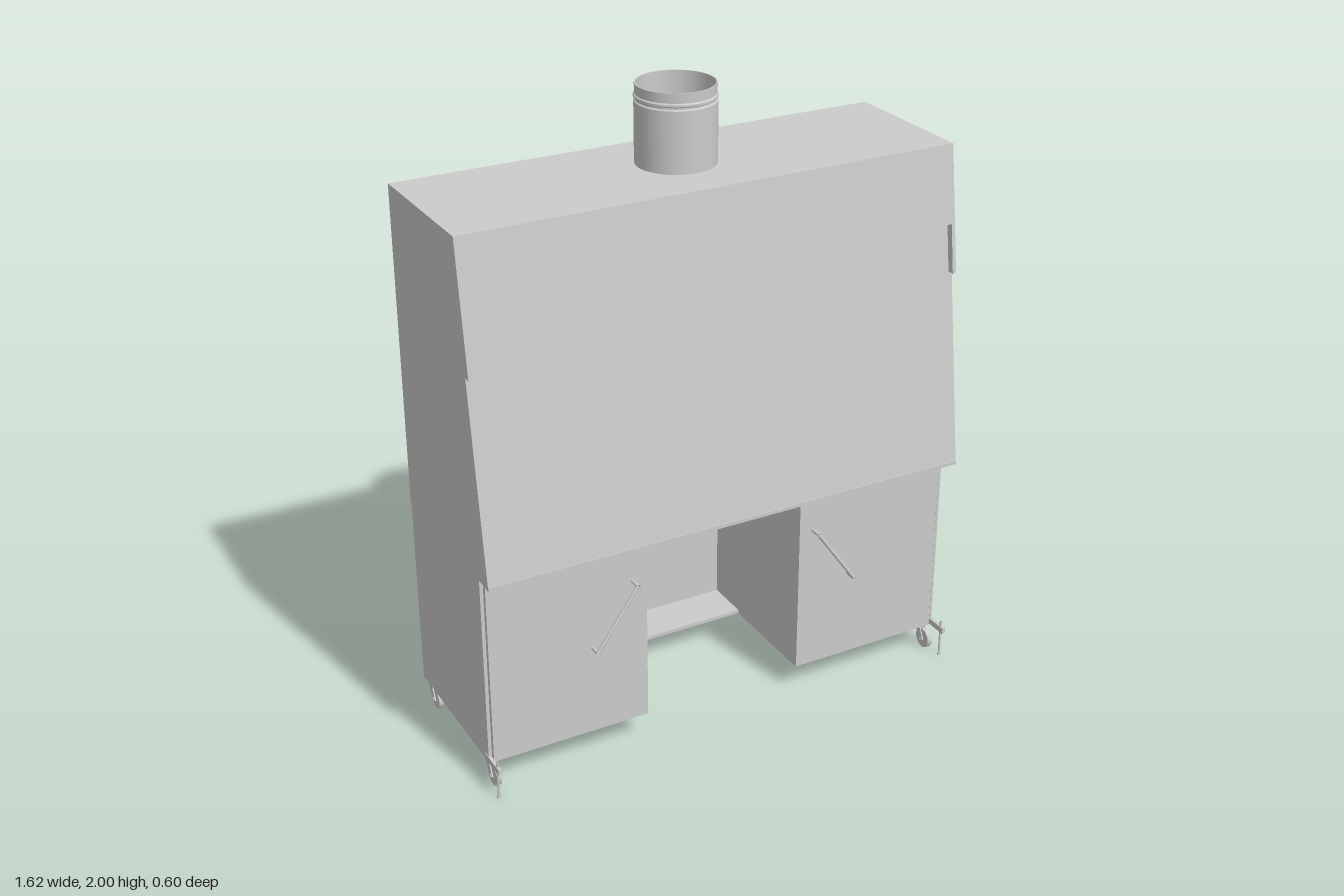
import * as THREE from 'three';

const mat = new THREE.MeshStandardMaterial({ color: 0xcccccc, side: THREE.DoubleSide });

export function createModel() {
  const root = new THREE.Group();
  const add = (name, geo, parent = root) => {
    const mesh = new THREE.Mesh(geo, mat);
    mesh.name = name;
    parent.add(mesh);
    return mesh;
  };
  // box given by its limits on each axis
  const box = (name, [x0, x1], [y0, y1], [z0, z1], parent) =>
    add(name, new THREE.BoxGeometry(x1 - x0, y1 - y0, z1 - z0)
      .translate((x0 + x1) / 2, (y0 + y1) / 2, (z0 + z1) / 2), parent);
  // side profile of [z, y] points extruded from x0 to x1
  const profile = (name, pts, x0, x1, parent) => {
    const shape = new THREE.Shape(pts.map(([z, y]) => new THREE.Vector2(z, y)));
    const geo = new THREE.ExtrudeGeometry(shape, { depth: x1 - x0, bevelEnabled: false });
    return add(name, geo.rotateY(-Math.PI / 2).translate(x1, 0, 0), parent);
  };
  // round bar between two points
  const bar = (name, a, b, r, parent) => {
    const curve = new THREE.LineCurve3(new THREE.Vector3(...a), new THREE.Vector3(...b));
    return add(name, new THREE.TubeGeometry(curve, 1, r, 10), parent);
  };

  const W = 0.808, BACK = -0.298;

  // hood body with sloping sash
  profile('hoodBody', [[BACK, 0.73], [0.298, 0.73], [0.192, 1.51], [0.16, 1.76], [BACK, 1.76]], -W, W);
  box('sashRail', [-W, W], [0.728, 0.74], [0.28, 0.3]);

  // upper cover plate with an arm down each side
  const coverZ = y => 0.18 + (1.76 - y) * 0.1375;
  const cover = (name, y0, y1, x0, x1) =>
    profile(name, [[0.15, y0], [coverZ(y0), y0], [coverZ(y1), y1], [0.15, y1]], x0, x1);
  cover('upperCover', 1.515, 1.76, -W, W);

  // exhaust duct with a bead and a slightly narrower collar
  const ductProfile = [
    [0.118, 1.755], [0.123, 1.755], [0.123, 1.948], [0.119, 1.952], [0.119, 1.957],
    [0.124, 1.96], [0.124, 1.966], [0.12, 1.97], [0.121, 2], [0.117, 2], [0.117, 1.755],
  ];
  // each band gets its own edges so the beads stay crisp
  const duct = new THREE.Group();
  duct.name = 'exhaustDuct';
  duct.position.z = -0.075;
  root.add(duct);
  for (let i = 1; i < ductProfile.length - 1; i++) {
    const pts = [ductProfile[i], ductProfile[i + 1]].map(p => new THREE.Vector2(...p));
    add('ductBand', new THREE.LatheGeometry(pts, 40), duct);
  }

  // knee space between the pedestals
  box('kneeBackPanel', [-0.27, 0.27], [0.09, 0.73], [BACK, -0.288]);
  box('kneeLedge', [-0.27, 0.27], [0.09, 0.102], [-0.288, -0.14]);

  for (const s of [-1, 1]) {
    const side = new THREE.Group();
    side.name = s > 0 ? 'leftSide' : 'rightSide';
    root.add(side);
    const span = (a, b) => (s > 0 ? [a, b] : [-b, -a]);

    const [ax0, ax1] = span(0.796, W);
    cover('coverArm', 1.36, 1.515, ax0, ax1);

    // pedestal, side panel and door
    box('pedestal', span(0.27, 0.797), [0.09, 0.73], [BACK, 0.218], side);
    box('sidePanel', span(0.797, 0.806), [0.09, 0.73], [BACK, 0.226], side);
    box('door', span(0.27, 0.792), [0.092, 0.726], [0.218, 0.232], side);

    // slanted door handle on two standoffs
    const low = [s * 0.455, 0.393], high = [s * 0.318, 0.587];
    bar('handleGrip', [...low, 0.268], [...high, 0.268], 0.006, side);
    for (const p of [low, high]) {
      bar('handleStandoff', [...p, 0.228], [...p, 0.272], 0.006, side);
    }

    // levelling foot on a small bracket
    box('footBracket', span(0.797, 0.808), [0.092, 0.112], [0.2, 0.302], side);
    bar('footScrew', [s * 0.803, 0.005, 0.284], [s * 0.803, 0.13, 0.284], 0.004, side);
    add('footPad', new THREE.CylinderGeometry(0.005, 0.006, 0.008, 12), side)
      .position.set(s * 0.803, 0.004, 0.284);

    // swivel casters
    for (const z of [0.218, -0.238]) {
      const caster = new THREE.Group();
      caster.name = 'caster';
      caster.position.set(s * 0.786, 0, z);
      side.add(caster);
      add('wheel', new THREE.CylinderGeometry(0.034, 0.034, 0.016, 24).rotateZ(Math.PI / 2), caster)
        .position.y = 0.037;
      for (const x of [-0.011, 0.011]) {
        profile('forkPlate', [[-0.012, 0.03], [0.01, 0.034], [-0.018, 0.09], [-0.046, 0.09]],
          x - 0.002, x + 0.002, caster);
      }
      bar('axle', [-0.015, 0.037, 0], [0.015, 0.037, 0], 0.006, caster);
      box('forkTop', [-0.013, 0.013], [0.078, 0.09], [-0.046, -0.016], caster);
    }
  }
  return root;
}
